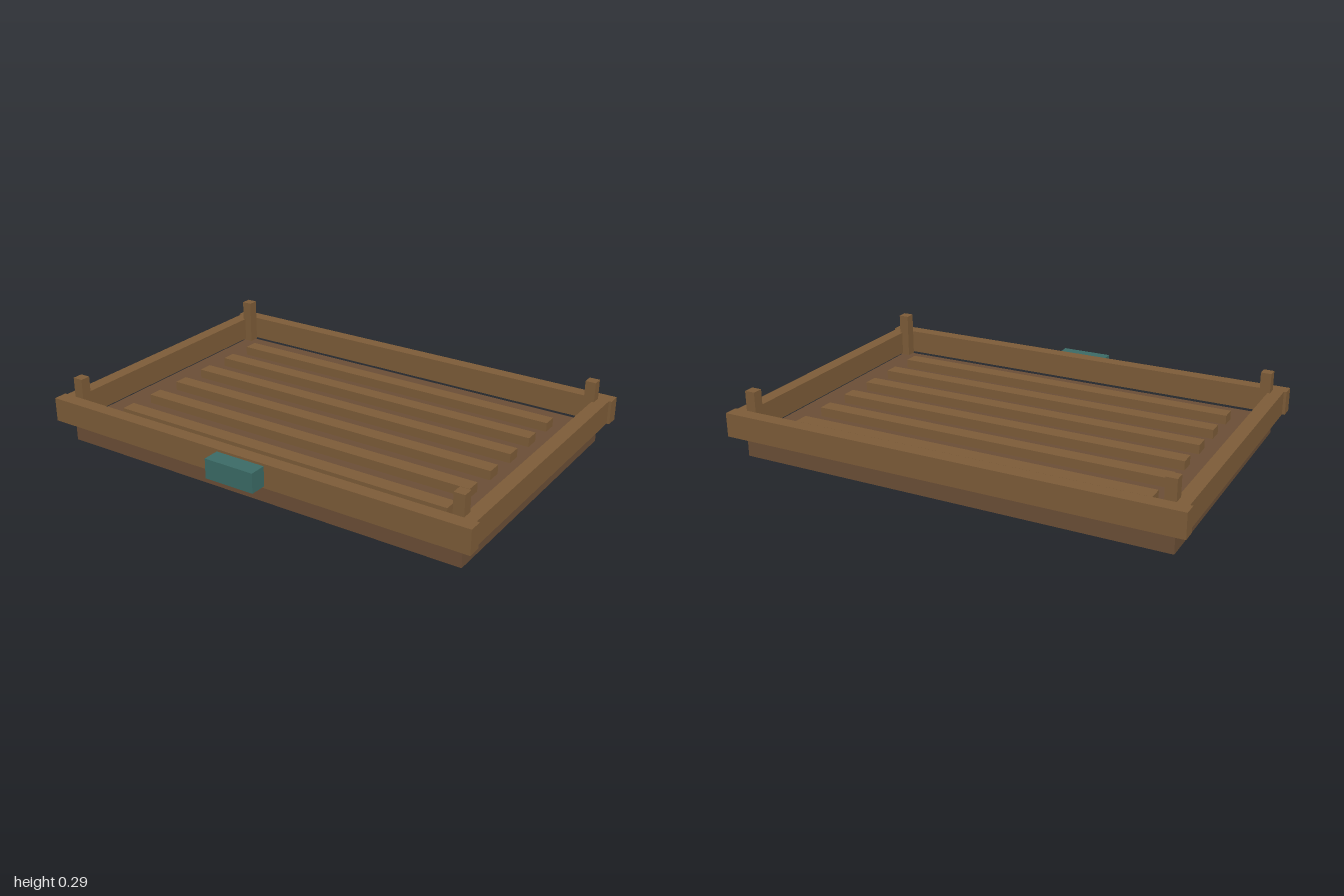
import * as THREE from 'three';

export function createModel() {
  const model = new THREE.Group();
  model.name = 'slattedTray';
  const wood = new THREE.MeshStandardMaterial({ color: 0x7d5c38 });
  const darkWood = new THREE.MeshStandardMaterial({ color: 0x6b4e36 });
  const teal = new THREE.MeshStandardMaterial({ color: 0x3b6b66 });

  // Box given by its extents along each axis
  function box(name, material, [x0, x1], [y0, y1], [z0, z1]) {
    const mesh = new THREE.Mesh(new THREE.BoxGeometry(x1 - x0, y1 - y0, z1 - z0), material);
    mesh.position.set((x0 + x1) / 2, (y0 + y1) / 2, (z0 + z1) / 2);
    mesh.name = name;
    model.add(mesh);
  }

  const midZ = -0.037; // centre of the tray; the handle sticks out in front
  const railY = [0.097, 0.202];

  // Base panel
  box('basePanel', darkWood, [-0.943, 0.943], [0, 0.084], [midZ - 0.62, midZ + 0.62]);

  // Front and back rails
  box('frontRail', wood, [-1, 1], railY, [midZ + 0.613, midZ + 0.673]);
  box('backRail', wood, [-1, 1], railY, [midZ - 0.673, midZ - 0.613]);

  // Side rails
  box('leftRail', wood, [0.928, 0.988], railY, [midZ - 0.613, midZ + 0.613]);
  box('rightRail', wood, [-0.988, -0.928], railY, [midZ - 0.613, midZ + 0.613]);

  // Corner posts
  for (const sx of [-1, 1]) {
    for (const sz of [-1, 1]) {
      const x = sx * 0.916, z = midZ + sz * 0.59;
      box('cornerPost', wood, [x - 0.023, x + 0.023], [0.09, 0.29], [z - 0.023, z + 0.023]);
    }
  }

  // Floor slats
  for (let i = 0; i < 6; i++) {
    const z = midZ + (i - 2.5) * 0.176;
    box('slat', wood, [-0.8, 0.8], [0.09, 0.13], [z - 0.033, z + 0.033]);
  }

  // Front handle
  box('handle', teal, [-0.114, 0.114], [0.106, 0.192], [midZ + 0.66, 0.71]);

  return model;
}
